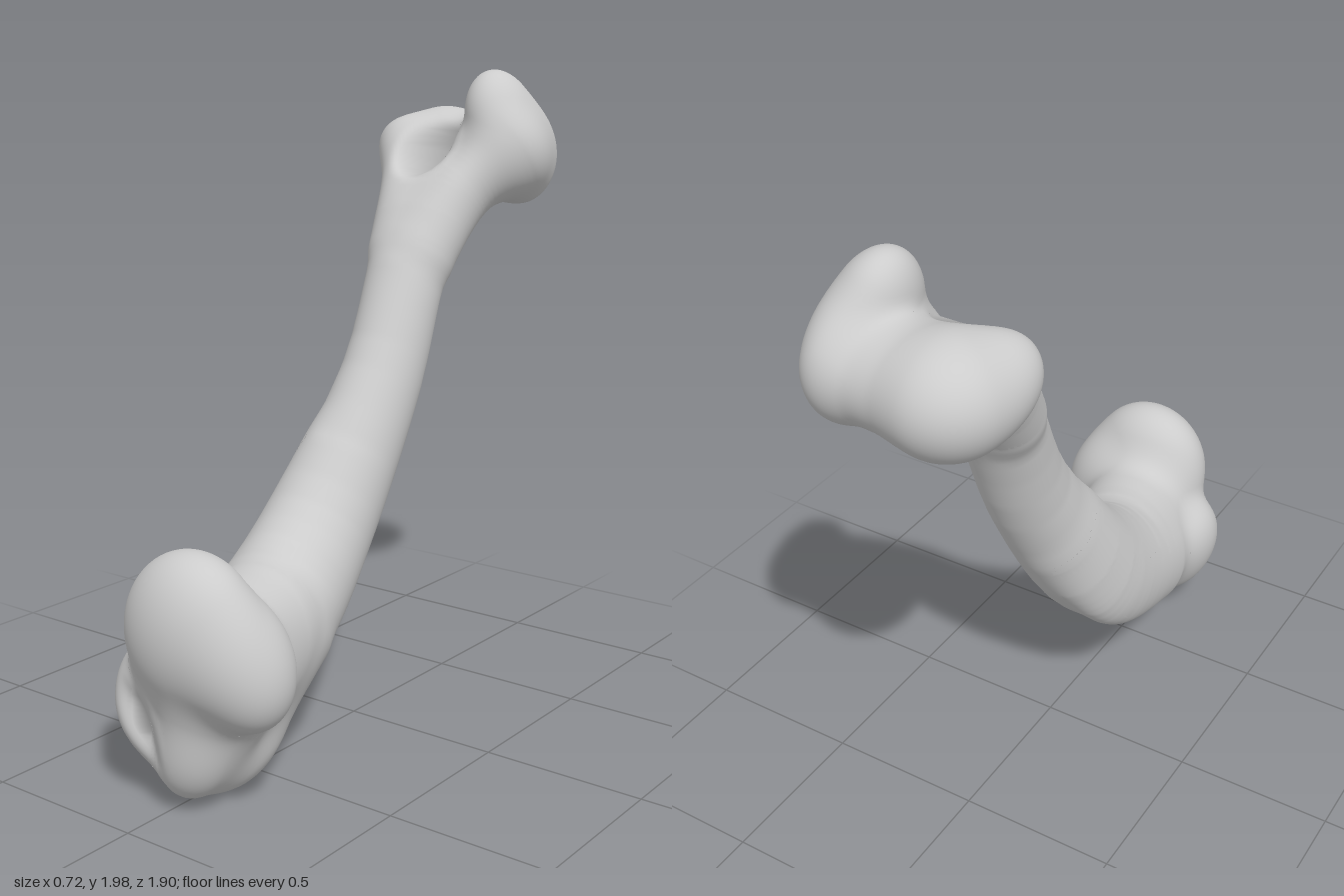
import * as THREE from 'three';

const BLEND = 0.08;
const X = new THREE.Vector3(1, 0, 0);
const Z = new THREE.Vector3(0, 0, 1);
const vec = (x, y, z) => new THREE.Vector3(x, y, z);

// Smooth minimum: joins two parts with a soft fillet
function smin(a, b, k) {
  const h = Math.max(k - Math.abs(a - b), 0) / k;
  return Math.min(a, b) - h * h * k * 0.25;
}

// Cross directions of a section: u close to x, n square to it
function frame(t) {
  const u = X.clone().addScaledVector(t, -X.dot(t)).normalize();
  return { u, n: new THREE.Vector3().crossVectors(u, t) };
}

// Rounded lobe: an ellipsoid, optionally rolled about z
function lobe(name, centre, r, roll = 0) {
  const p = new THREE.Vector3();
  const distance = (v) => {
    p.subVectors(v, centre).applyAxisAngle(Z, -roll).divide(r);
    const k0 = p.length();
    return k0 * (k0 - 1) / (p.divide(r).length() + 1e-6);
  };
  const build = () => new THREE.SphereGeometry(1, 56, 36)
    .scale(r.x, r.y, r.z).rotateZ(roll).translate(centre.x, centre.y, centre.z);
  return { name, distance, build };
}

// Limb: elliptical sections along a spine, with rounded ends
function limb(name, points, widths, depths) {
  const CAP = 0.8, N = 20;
  const spine = new THREE.CatmullRomCurve3(points);
  const radii = new THREE.CatmullRomCurve3(points.map((p, i) => vec(widths[i], depths[i], 0)), false, 'catmullrom');
  const at = (s) => ({ c: spine.getPoint(s), t: spine.getTangent(s), r: radii.getPoint(s) });
  const knots = Array.from({ length: N + 1 }, (_, i) => at(i / N));
  const a = new THREE.Vector3(), b = new THREE.Vector3();
  const distance = (v) => {
    let best = Infinity, seg = 0, part = 0;
    for (let i = 0; i < N; i++) {
      a.subVectors(knots[i + 1].c, knots[i].c);
      b.subVectors(v, knots[i].c);
      const s = THREE.MathUtils.clamp(b.dot(a) / a.lengthSq(), 0, 1);
      const d = b.addScaledVector(a, -s).lengthSq();
      if (d < best) { best = d; seg = i; part = s; }
    }
    const k = knots[seg], l = knots[seg + 1];
    const t = k.t.clone().lerp(l.t, part).normalize();
    const f = frame(t);
    a.lerpVectors(k.r, l.r, part);
    b.lerpVectors(k.c, l.c, part).subVectors(v, b);
    const atEnd = seg + part === 0 || seg + part === N;
    const w = atEnd ? b.dot(t) / (a.y * CAP) : 0;
    return (Math.hypot(b.dot(f.u) / a.x, b.dot(f.n) / a.y, w) - 1) * Math.min(a.x, a.y);
  };
  const build = () => {
    const L = 4;
    const g = new THREE.CapsuleGeometry(1, L, 8, 48, 64);
    const pos = g.attributes.position;
    for (let i = 0; i < pos.count; i++) {
      const y = pos.getY(i);
      const s = THREE.MathUtils.clamp(y / L + 0.5, 0, 1);
      const k = at(s), f = frame(k.t);
      k.c.addScaledVector(f.u, pos.getX(i) * k.r.x)
        .addScaledVector(f.n, pos.getZ(i) * k.r.y)
        .addScaledVector(k.t, (y - (s - 0.5) * L) * k.r.y * CAP);
      pos.setXYZ(i, k.c.x, k.c.y, k.c.z);
    }
    return g;
  };
  return { name, distance, build };
}

const parts = [
  // Curved shaft, from the lower end up
  limb('shaft',
    [vec(0.03, 0.34, 0.7), vec(-0.025, 0.425, 0.37), vec(-0.065, 0.63, 0.09),
      vec(-0.043, 1.04, -0.195), vec(-0.058, 1.43, -0.39), vec(-0.07, 1.69, -0.62)],
    [0.2, 0.185, 0.165, 0.125, 0.13, 0.17],
    [0.19, 0.195, 0.175, 0.138, 0.118, 0.12]),
  // Ridge down the outer side of the shaft
  limb('outerRidge',
    [vec(-0.1, 0.82, -0.06), vec(-0.18, 0.52, 0.1), vec(-0.13, 0.33, 0.5)],
    [0.06, 0.06, 0.08], [0.09, 0.1, 0.11]),
  // Lower end: neck, ball head, side knob, crest and lip
  limb('neck', [vec(0.02, 0.46, 0.48), vec(0.07, 0.49, 0.74)], [0.13, 0.15], [0.13, 0.12]),
  lobe('ballHead', vec(0.07, 0.53, 0.805), vec(0.21, 0.225, 0.15)),
  lobe('innerKnob', vec(0.215, 0.445, 0.76), vec(0.13, 0.17, 0.135), 0.3),
  lobe('underHead', vec(0.06, 0.28, 0.765), vec(0.11, 0.17, 0.11)),
  limb('lowerCrest',
    [vec(-0.01, 0.35, 0.35), vec(0.03, 0.145, 0.58), vec(0.025, 0.155, 0.77)],
    [0.11, 0.1, 0.1], [0.09, 0.128, 0.122]),
  lobe('outerLip', vec(-0.115, 0.27, 0.735), vec(0.105, 0.17, 0.15), 0.3),
  // Upper end: tall peak in front, paired joint lobes and bridge behind
  lobe('leftPeak', vec(0.095, 1.81, -0.675), vec(0.11, 0.188, 0.14), 0.32),
  lobe('leftCondyle', vec(0.1, 1.715, -0.775), vec(0.11, 0.155, 0.145)),
  lobe('rightCondyle', vec(-0.185, 1.71, -0.765), vec(0.175, 0.162, 0.185)),
  lobe('jointBridge', vec(-0.03, 1.705, -0.76), vec(0.14, 0.125, 0.145)),
];

// Paired columns beside the pit
for (const [side, label] of [[-1, 'right'], [1, 'left']]) {
  parts.push(limb(`${label}Column`,
    [vec(-0.065 + side * 0.07, 1.42, -0.39), vec(-0.065 + side * 0.115, 1.6, -0.51), vec(-0.065 + side * 0.21, 1.735, -0.66)],
    [0.05, 0.06, 0.085], [0.06, 0.08, 0.1]));
}

// Hollows: pit between the columns, groove beside the ball head
const hollows = [
  lobe('pit', vec(-0.105, 1.75, -0.535), vec(0.08, 0.12, 0.115)),
  lobe('groove', vec(-0.075, 0.24, 0.93), vec(0.04, 0.13, 0.09), 0.35),
];

// Blended distance to the whole bone
function field(p) {
  let d = 1;
  for (const part of parts) d = smin(d, part.distance(p), BLEND);
  for (const h of hollows) d = -smin(-d, h.distance(p), 0.05);
  return d;
}

const probe = new THREE.Vector3();
function gradient(p, out) {
  const e = 0.006;
  for (const k of ['x', 'y', 'z']) {
    probe.copy(p)[k] += e;
    const ahead = field(probe);
    probe[k] -= 2 * e;
    out[k] = (ahead - field(probe)) / (2 * e);
  }
  return out;
}

// Move the vertices of a part onto the blended surface; buried ones stay put
function settle(geometry) {
  const pos = geometry.attributes.position, nor = geometry.attributes.normal;
  const p = new THREE.Vector3(), g = new THREE.Vector3();
  for (let i = 0; i < pos.count; i++) {
    p.fromBufferAttribute(pos, i);
    let d = field(p);
    if (d < -0.7 * BLEND) continue;
    for (let n = 0; n < 10 && Math.abs(d) > 0.0006; n++) {
      const len = Math.max(gradient(p, g).length(), 0.2);
      const step = THREE.MathUtils.clamp(d / len, -0.025, 0.025);
      p.addScaledVector(g, -step / len);
      d = field(p);
    }
    pos.setXYZ(i, p.x, p.y, p.z);
    gradient(p, g).normalize();
    nor.setXYZ(i, g.x, g.y, g.z);
  }
  return geometry;
}

export function createModel() {
  const group = new THREE.Group();
  group.name = 'bone';
  const material = new THREE.MeshStandardMaterial({ color: 0xcccccc });
  for (const part of parts) {
    const mesh = new THREE.Mesh(settle(part.build()), material);
    mesh.name = part.name;
    group.add(mesh);
  }
  return group;
}
